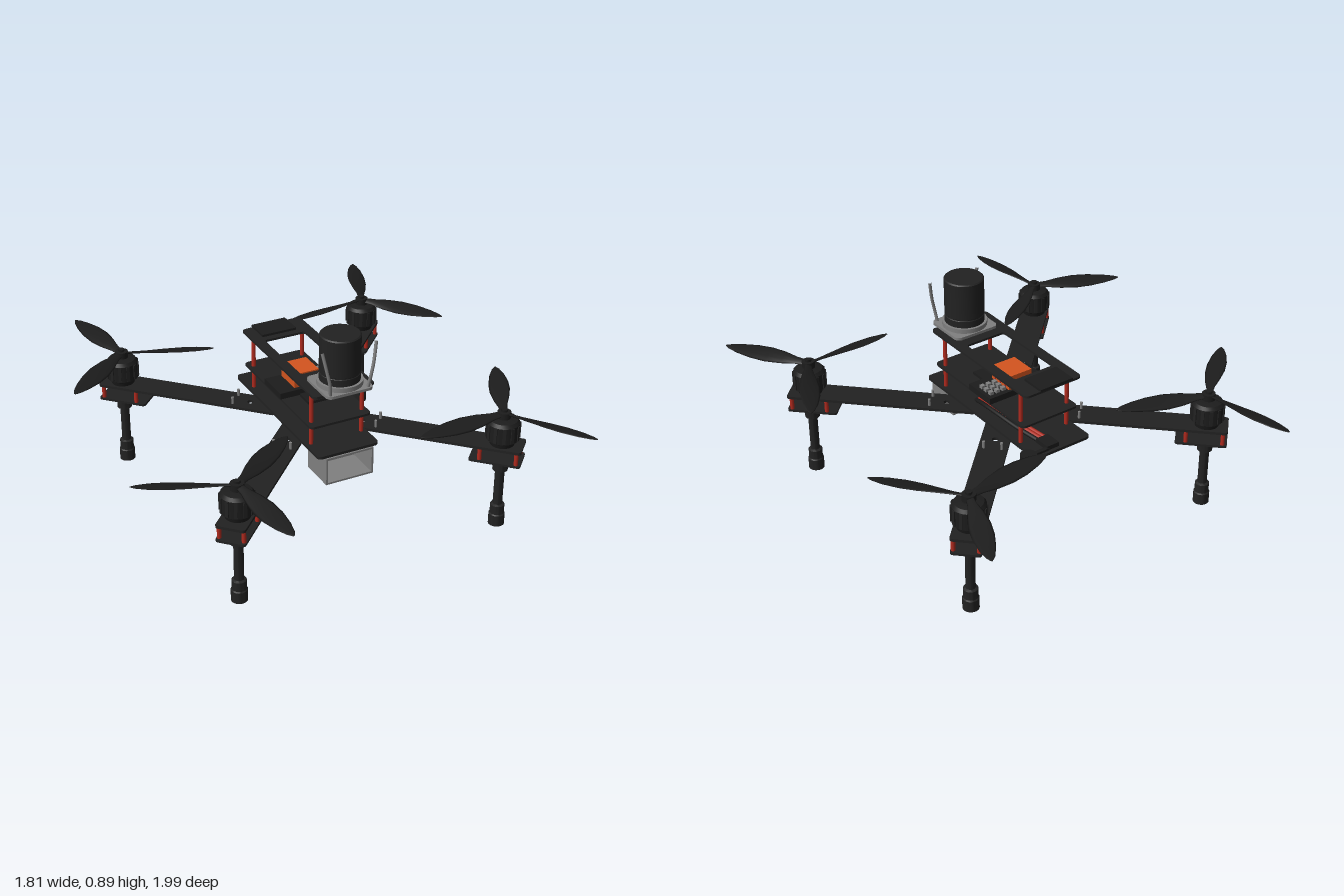
import * as THREE from 'three';
import { toCreasedNormals } from 'three/addons/utils/BufferGeometryUtils.js';

const mat = (name, color, side = THREE.FrontSide) => {
  const m = new THREE.MeshStandardMaterial({ color, side });
  m.name = name;
  return m;
};

export function createModel() {
  const carbon = mat('carbon black', 0x222222);
  const black = mat('deep black', 0x1c1c1c);
  const red = mat('anodised red', 0xb02a1e);
  const orange = mat('orange', 0xd4551f);
  const grey = mat('mid grey', 0x808080);
  const pale = mat('pale grey', 0xb0b0b0);
  const model = new THREE.Group();
  const CX = 0.06; // centre line of the body

  const add = (parent, name, geo, material, x = 0, y = 0, z = 0) => {
    const m = new THREE.Mesh(geo, material);
    m.name = name;
    m.position.set(x, y, z);
    parent.add(m);
    return m;
  };
  // Box given by its low and high corners
  const box = (parent, name, material, [x0, y0, z0], [x1, y1, z1]) =>
    add(parent, name, new THREE.BoxGeometry(x1 - x0, y1 - y0, z1 - z0), material,
      (x0 + x1) / 2, (y0 + y1) / 2, (z0 + z1) / 2);
  const cyl = (parent, name, material, r, y0, y1, x = 0, z = 0, seg = 20) =>
    add(parent, name, new THREE.CylinderGeometry(r, r, y1 - y0, seg), material, x, (y0 + y1) / 2, z);
  const tube = (parent, name, material, r, pts) =>
    add(parent, name, new THREE.TubeGeometry(
      new THREE.CatmullRomCurve3(pts.map(p => new THREE.Vector3(...p))), 24, r, 8), material);
  const lathe = (parent, name, material, pts) =>
    add(parent, name, toCreasedNormals(new THREE.LatheGeometry(
      pts.map(p => new THREE.Vector2(...p)), 28), 0.5), material);

  // Flat plate with rounded corners, lying in the xz plane
  const roundRect = (Shape, x0, z0, x1, z1, r) => {
    const s = new Shape();
    s.absarc(x1 - r, z1 - r, r, 0, Math.PI / 2);
    s.absarc(x0 + r, z1 - r, r, Math.PI / 2, Math.PI);
    s.absarc(x0 + r, z0 + r, r, Math.PI, Math.PI * 1.5);
    s.absarc(x1 - r, z0 + r, r, Math.PI * 1.5, Math.PI * 2);
    s.closePath();
    return s;
  };
  const plate = (parent, name, material, [x0, z0, x1, z1], y, h, r = 0.02, holes = []) => {
    const s = roundRect(THREE.Shape, x0, -z1, x1, -z0, r);
    s.holes.push(...holes);
    const g = new THREE.ExtrudeGeometry(s, { depth: h, bevelEnabled: false, curveSegments: 6 });
    g.rotateX(-Math.PI / 2);
    return add(parent, name, g, material, 0, y, 0);
  };

  // Twisted propeller blade lofted along x from elliptical sections
  const bladeGeometry = (hand) => {
    const rows = [[0.01, 0.014, 0.45], [0.06, 0.019, 0.4], [0.12, 0.033, 0.34], [0.19, 0.043, 0.27],
      [0.26, 0.042, 0.21], [0.33, 0.031, 0.16], [0.38, 0.016, 0.13], [0.402, 0.002, 0.12]];
    const N = 10, pos = [], idx = [];
    rows.forEach(([x, w, twist], i) => {
      for (let j = 0; j < N; j++) {
        const a = j / N * Math.PI * 2, t = twist * hand;
        const z = w * Math.cos(a), y = 0.0055 * (1 - i * 0.09) * Math.sin(a);
        pos.push(x, y * Math.cos(t) + z * Math.sin(t), z * Math.cos(t) - y * Math.sin(t));
        if (i < rows.length - 1) {
          const p = i * N + j, q = i * N + (j + 1) % N;
          idx.push(p, p + N, q, q, p + N, q + N);
        }
      }
    });
    const g = new THREE.BufferGeometry();
    g.setAttribute('position', new THREE.Float32BufferAttribute(pos, 3));
    g.setIndex(idx);
    g.computeVertexNormals();
    return g;
  };

  // Arms with motor, propeller, mount and leg; the last value is the propeller angle
  const M = 0.845; // motor distance along the arm
  for (const [sx, sz, deg] of [[-1, -1, 20], [1, -1, 53], [-1, 1, 84.5], [1, 1, 58]]) {
    const arm = new THREE.Group();
    arm.name = 'arm';
    arm.position.x = CX;
    const turn = Math.atan2(sz, sx);
    arm.rotation.y = -turn;
    model.add(arm);

    const hole = new THREE.Path();
    hole.absarc(0.25, 0, 0.014, 0, Math.PI * 2, true);
    plate(arm, 'armPlate', carbon, [0.12, -0.061, 0.935, 0.061], 0.379, 0.012, 0.012, [hole]);
    plate(arm, 'lowerMountPlate', carbon, [0.72, -0.061, 0.935, 0.061], 0.316, 0.01, 0.012);
    for (const v of [-1, 1]) {
      cyl(arm, 'armScrew', grey, 0.006, 0.385, 0.422, 0.318, v * 0.037, 8);
      for (const u of [-1, 1])
        cyl(arm, 'mountPost', red, 0.009, 0.326, 0.379, M - 0.005 + u * 0.076, v * 0.05, 10);
    }
    // Motor wires sagging under the arm
    [[-0.016, red], [0, black], [0.016, black]].forEach(([v, m]) =>
      tube(arm, 'motorWire', m, 0.006,
        [[0.26, 0.376, v], [0.4, 0.372, v], [0.55, 0.366, v], [0.68, 0.372, v], [0.78, 0.376, v]]));

    const unit = new THREE.Group();
    unit.name = 'motorUnit';
    unit.position.x = M;
    unit.rotation.y = turn;
    arm.add(unit);
    lathe(unit, 'motor', black, [[0, 0.39], [0.05, 0.39], [0.056, 0.41], [0.068, 0.418], [0.068, 0.492],
      [0.058, 0.506], [0.03, 0.512], [0, 0.512]]);
    for (let i = 0; i < 12; i++) {
      const a = i / 12 * Math.PI * 2;
      const rib = box(unit, 'motorRib', carbon, [-0.004, 0.422, -0.007], [0.004, 0.49, 0.007]);
      rib.position.x = Math.cos(a) * 0.068;
      rib.position.z = Math.sin(a) * 0.068;
      rib.rotation.y = -a;
    }
    cyl(unit, 'propellerHub', black, 0.028, 0.51, 0.54);
    cyl(unit, 'propellerNut', black, 0.014, 0.54, 0.55, 0, 0, 6);
    const blade = bladeGeometry(sx * sz);
    for (let k = 0; k < 3; k++) {
      const b = add(unit, 'propellerBlade', blade, black, 0, 0.53, 0);
      b.rotation.y = -(deg + k * 120) * Math.PI / 180;
    }
    lathe(unit, 'leg', carbon, [[0, 0], [0.034, 0], [0.034, 0.05], [0.03, 0.055], [0.03, 0.095], [0.02, 0.1],
      [0.02, 0.262], [0.032, 0.266], [0.032, 0.303], [0.02, 0.305], [0.02, 0.317], [0, 0.317]]);
  }

  // Body plates
  plate(model, 'bottomPlate', carbon, [-0.08, -0.4, 0.2, 0.385], 0.393, 0.012);
  plate(model, 'middlePlate', carbon, [-0.08, -0.315, 0.2, 0.315], 0.497, 0.01);
  plate(model, 'topPlate', carbon, [-0.08, -0.335, 0.2, 0.34], 0.648, 0.01, 0.02,
    [roundRect(THREE.Path, -0.035, -0.14, 0.155, 0.2, 0.012)]);
  box(model, 'rearReceiver', black, [-0.03, 0.658, -0.34], [0.13, 0.668, -0.23]);
  for (const x of [-0.055, 0.178]) for (const z of [-0.27, 0.27]) {
    cyl(model, 'lowerPost', red, 0.009, 0.405, 0.497, x, z, 10);
    cyl(model, 'upperPost', red, 0.009, 0.507, 0.648, x, z, 10);
  }

  // Flight controller
  box(model, 'carrierBoard', black, [-0.085, 0.507, -0.1], [0.208, 0.534, 0.05]);
  box(model, 'controllerCube', orange, [-0.01, 0.534, -0.09], [0.105, 0.597, 0.03]);
  for (const z of [-0.065, -0.03, 0.005])
    box(model, 'cubeSlot', red, [0.104, 0.535, z - 0.004], [0.107, 0.555, z + 0.004]);
  for (const x of [0.122, 0.152, 0.182]) for (const z of [-0.07, -0.04, -0.01])
    box(model, 'connector', grey, [x - 0.009, 0.532, z - 0.009], [x + 0.009, 0.548, z + 0.009]);
  box(model, 'powerModule', black, [0, 0.507, 0.06], [0.125, 0.519, 0.14]);

  // Power cable and rear antenna on the bottom plate
  [[0, red], [0.018, black], [-0.018, red]].forEach(([d, m]) =>
    tube(model, 'powerCable', m, 0.009, [[0.12 + d, 0.405, 0.1], [0.14 + d, 0.432, 0.02],
      [0.14 + d, 0.436, -0.08], [0.125 + d, 0.424, -0.2], [0.1 + d, 0.412, -0.33]]));
  box(model, 'powerPlug', black, [0.07, 0.405, -0.385], [0.13, 0.424, -0.31]);
  box(model, 'antennaArm', black, [0.12, 0.402, -0.388], [0.21, 0.415, -0.37]);
  cyl(model, 'antennaDisc', black, 0.034, 0.4, 0.422, 0.22, -0.38);

  // Scanner on its base, with two curved guard wires
  plate(model, 'scannerBase', grey, [-0.04, 0.185, 0.17, 0.385], 0.658, 0.012, 0.025);
  cyl(model, 'scannerCollar', grey, 0.096, 0.67, 0.69, 0.065, 0.285, 32);
  lathe(model, 'scanner', carbon, [[0, 0.688], [0.085, 0.688], [0.085, 0.72], [0.083, 0.722], [0.083, 0.726],
    [0.085, 0.728], [0.085, 0.885], [0.08, 0.89], [0, 0.89]]).position.set(0.065, 0, 0.285);
  for (const s of [-1, 1]) {
    const at = (dx, y, z) => [0.063 + s * dx, y, z];
    tube(model, 'guardWire', grey, 0.007, [at(0.085, 0.668, 0.37), at(0.092, 0.72, 0.378),
      at(0.105, 0.78, 0.376), at(0.121, 0.865, 0.364)]);
  }

  // Open-fronted camera housing and small sensor under the body
  const frame = new THREE.Shape([[-0.048, 0.27], [0.17, 0.27], [0.17, 0.393], [-0.048, 0.393]]
    .map(p => new THREE.Vector2(...p)));
  frame.holes.push(new THREE.Path([[-0.04, 0.278], [-0.04, 0.385], [0.162, 0.385], [0.162, 0.278]]
    .map(p => new THREE.Vector2(...p))));
  add(model, 'cameraHousing', new THREE.ExtrudeGeometry(frame, { depth: 0.16, bevelEnabled: false }),
    grey, 0, 0, 0.232);
  box(model, 'cameraBack', grey, [-0.041, 0.277, 0.232], [0.163, 0.386, 0.242]);
  box(model, 'lowerSensor', pale, [0, 0.325, -0.017], [0.12, 0.393, 0.08]);

  return model;
}
